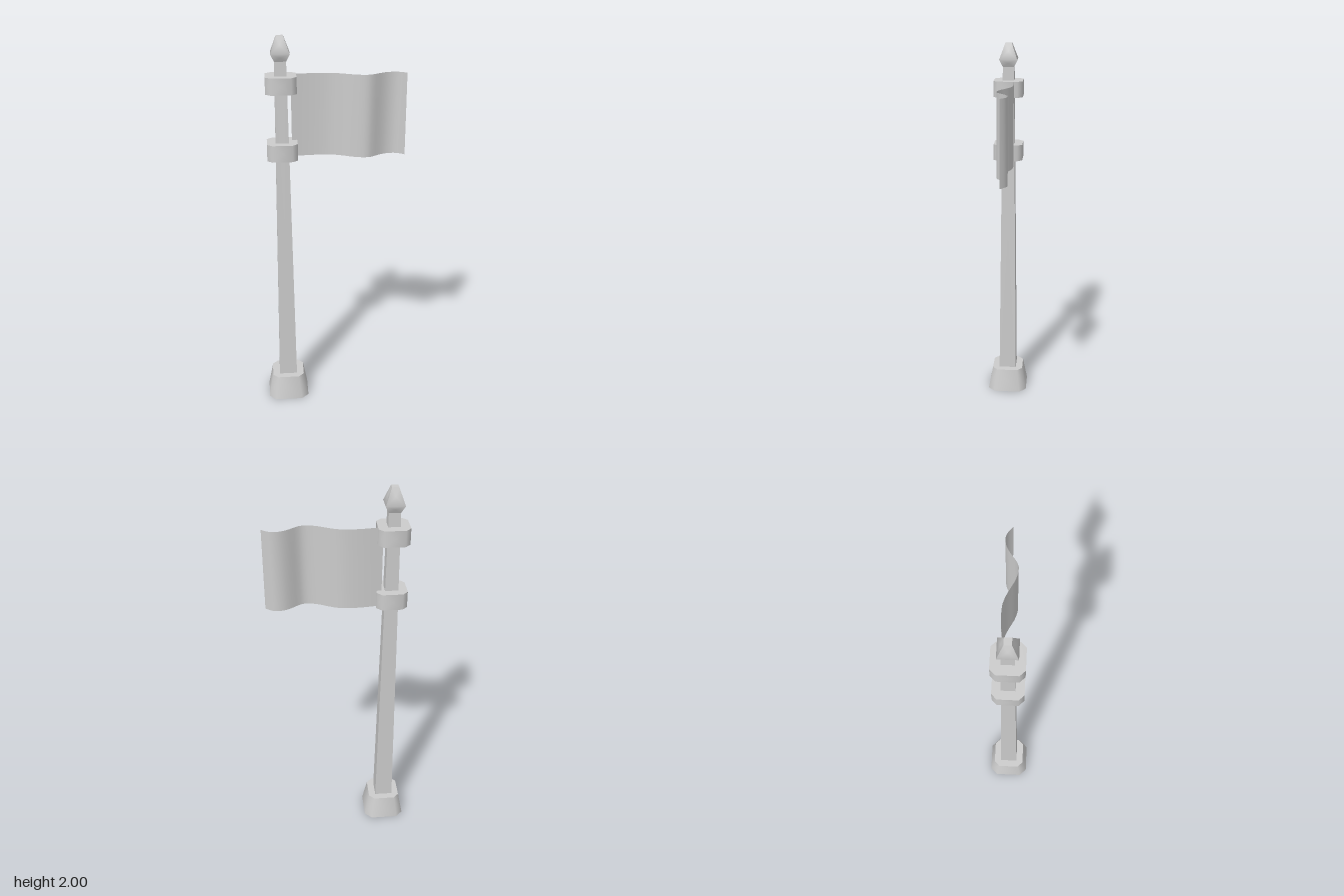
import * as THREE from 'three';
import { toCreasedNormals } from 'three/addons/utils/BufferGeometryUtils.js';

const POLE_X = -0.26;
const grey = new THREE.MeshStandardMaterial({ color: 0xcccccc });
const cloth = new THREE.MeshStandardMaterial({ color: 0xcccccc, side: THREE.DoubleSide });

// Corners of a square of half width h, cut by c (c = 0 leaves four corners)
function outline(h, c) {
  const quarter = c > 0 ? [[h, h - c], [h - c, h]] : [[h, h]];
  const points = [];
  for (let i = 0; i < 4; i++) {
    for (const [a, b] of quarter) {
      points.push([[a, b], [-b, a], [-a, -b], [b, -a]][i]);
    }
  }
  return points;
}

// Solid through sections [y, halfWidth, cornerCut], closed at both ends
function loft(name, sections) {
  const rings = sections.map(([y, h, c = 0]) => outline(h, c).map(([x, z]) => [x, y, z]));
  const n = rings[0].length;
  const verts = [];
  const tri = (a, b, c) => verts.push(...a, ...b, ...c);
  for (let r = 0; r < rings.length - 1; r++) {
    for (let i = 0; i < n; i++) {
      // Each side is fanned from its middle, so the shading stays symmetric
      const j = (i + 1) % n;
      const quad = [rings[r][i], rings[r + 1][i], rings[r + 1][j], rings[r][j]];
      const middle = [0, 1, 2].map((k) => quad.reduce((sum, p) => sum + p[k] / 4, 0));
      quad.forEach((p, k) => tri(middle, p, quad[(k + 1) % 4]));
    }
  }
  const bottom = rings[0];
  const top = rings[rings.length - 1];
  for (let i = 1; i < n - 1; i++) {
    tri(bottom[0], bottom[i], bottom[i + 1]);
    tri(top[0], top[i + 1], top[i]);
  }
  const geometry = new THREE.BufferGeometry();
  geometry.setAttribute('position', new THREE.Float32BufferAttribute(verts, 3));
  const mesh = new THREE.Mesh(toCreasedNormals(geometry, 0.87), grey);
  mesh.name = name;
  mesh.position.x = POLE_X;
  return mesh;
}

// Cloth sheet following a rippled path (x, z)
function makeFlag() {
  const path = new THREE.SplineCurve([
    [-0.21, -0.024], [-0.15, -0.033], [-0.08, -0.039], [-0.01, -0.036],
    [0.05, -0.013], [0.1, 0.013], [0.15, 0.027], [0.19, 0.02],
    [0.235, -0.013], [0.275, -0.034], [0.315, -0.038], [0.345, -0.025], [0.367, -0.006],
  ].map(([x, z]) => new THREE.Vector2(x, z)));
  const steps = 24;
  const geometry = new THREE.PlaneGeometry(1, 0.42, steps, 1);
  const p = geometry.attributes.position;
  for (let i = 0; i < p.count; i++) {
    const point = path.getPoint((i % (steps + 1)) / steps);
    p.setXYZ(i, point.x, p.getY(i) + 1.6, point.y);
  }
  geometry.computeVertexNormals();
  const mesh = new THREE.Mesh(geometry, cloth);
  mesh.name = 'flag';
  return mesh;
}

export function createModel() {
  const model = new THREE.Group();
  model.name = 'flagpole';

  // Tapered foot and pole
  model.add(loft('base', [[0, 0.11, 0.037], [0.13, 0.086, 0.029]]));
  model.add(loft('pole', [[0.13, 0.048], [1.88, 0.029]]));

  // Pointed tip
  model.add(loft('finial', [[1.88, 0.029], [1.918, 0.047], [2, 0.017]]));

  // Collars holding the flag
  model.add(loft('lowerCollar', [[1.39, 0.077, 0.026], [1.475, 0.077, 0.026]]));
  model.add(loft('upperCollar', [[1.727, 0.077, 0.026], [1.81, 0.077, 0.026]]));

  model.add(makeFlag());
  return model;
}
